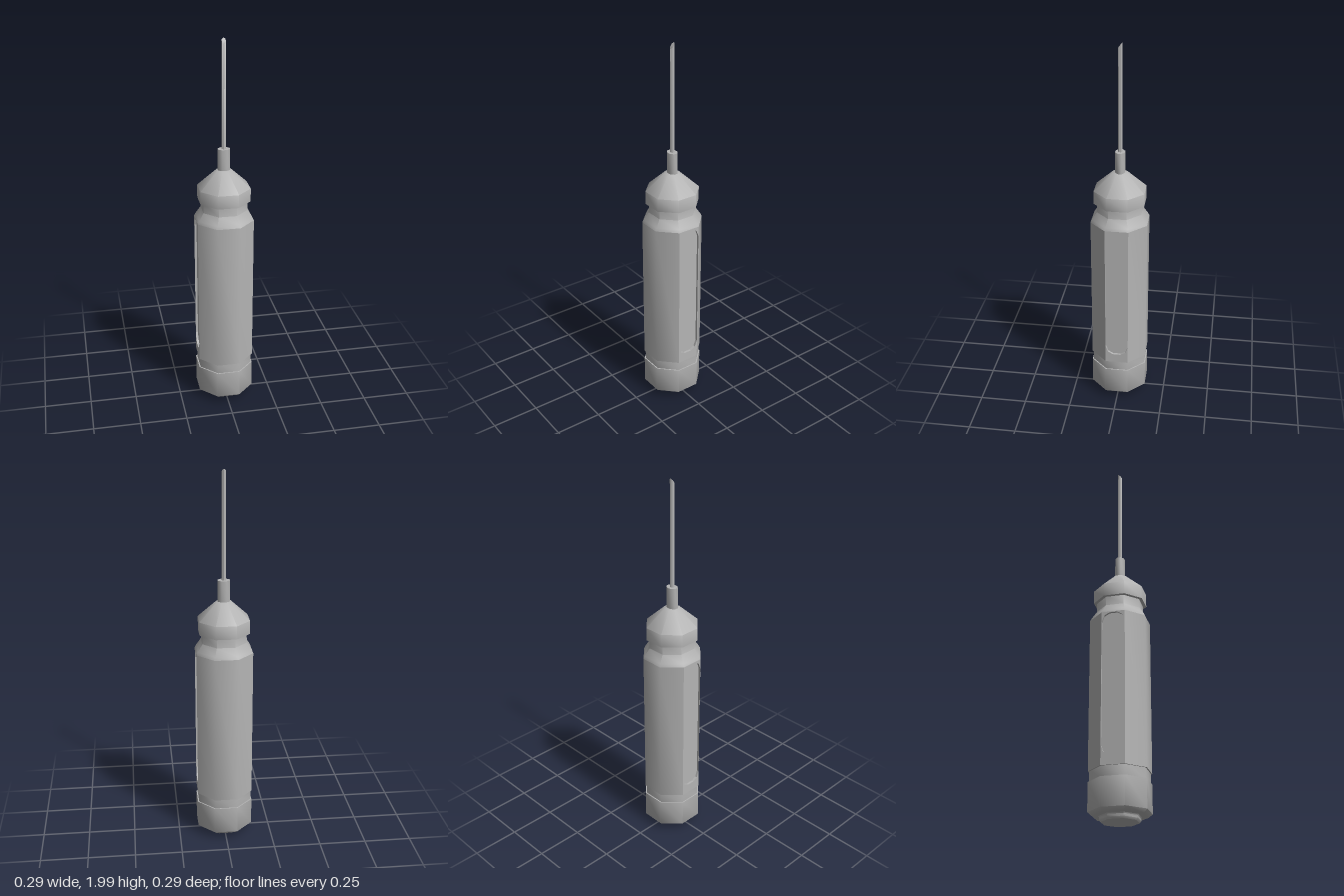
import * as THREE from 'three';
import { toCreasedNormals } from 'three/addons/utils/BufferGeometryUtils.js';

const EIGHTH = Math.PI / 8;
const ROUND = 1 / Math.cos(EIGHTH); // half width across flats -> corner radius

export function createModel() {
  const group = new THREE.Group();
  const grey = new THREE.MeshStandardMaterial({ color: 0xb4b4b4, side: THREE.DoubleSide });
  grey.name = 'grey';

  function add(name, geometry) {
    const mesh = new THREE.Mesh(geometry, grey);
    mesh.name = name;
    group.add(mesh);
    return mesh;
  }

  // Eight-sided turned part; profile points are [half width across flats, y]
  function turned(name, profile, start = EIGHTH, sides = 8) {
    const points = profile.map(([w, y]) => new THREE.Vector2(w * ROUND, y));
    const geometry = new THREE.LatheGeometry(points, sides, start, sides * EIGHTH * 2);
    return add(name, toCreasedNormals(geometry, 0.9));
  }

  // Base
  turned('endPlug', [[0, 0.005], [0.088, 0.005], [0.095, 0.015], [0.095, 0.028], [0.104, 0.04]]);
  turned('endCap', [[0, 0.033], [0.128, 0.033], [0.147, 0.05], [0.147, 0.197], [0.138, 0.197]]);
  turned('groove', [[0.141, 0.19], [0.141, 0.26]]);

  // Grip, open on both sides where the recessed panels sit
  const low = 0.25, high = 1.06, flat = 0.147;
  turned('gripUnderside', [[0.12, low], [flat, low]]);
  for (const start of [-3 * EIGHTH, 5 * EIGHTH]) {
    turned('gripShell', [[flat, low], [flat, high]], start, 3);
  }
  turned('gripShoulder', [[flat, high], [0.14, 1.075], [0.115, 1.115], [0.113, 1.17]]);

  // Side panels with a long slot
  const half = flat * Math.tan(EIGHTH), depth = 0.012;
  const panel = new THREE.Shape([[-half, low], [half, low], [half, high], [-half, high]]
    .map(([x, y]) => new THREE.Vector2(x, y)));
  const end = [[0.0602, 0.35], [0.047, 0.315], [0.02, 0.3]];
  const outline = [
    ...end,
    ...end.map(([x, y]) => [-x, y]).reverse(),
    ...end.map(([x, y]) => [-x, 1.355 - y]),
    ...end.map(([x, y]) => [x, 1.355 - y]).reverse(),
  ].map(([x, y]) => new THREE.Vector2(x, y));
  panel.holes.push(new THREE.Path(outline));
  for (const side of [1, -1]) {
    const rim = new THREE.ExtrudeGeometry(panel, { depth, bevelEnabled: false });
    rim.translate(0, 0, flat - depth).rotateY(side * Math.PI / 2);
    add('slotRim', rim);
    const floor = new THREE.ShapeGeometry(new THREE.Shape(outline));
    floor.translate(0, 0, flat - depth).rotateY(side * Math.PI / 2);
    add('slotFloor', floor);
  }

  // Nose and ferrule
  turned('nose', [[0.105, 1.165], [0.13, 1.165], [0.13, 1.235], [0.036, 1.328], [0, 1.33]]);
  turned('ferrule', [[0.031, 1.32], [0.031, 1.44], [0, 1.44]]).scale.z = 0.78;

  // Hexagonal needle with a slanted tip
  const needle = new THREE.CylinderGeometry(0.0115, 0.0115, 0.6, 6).translate(0, 1.7, 0);
  const pos = needle.attributes.position;
  for (let i = 0; i < pos.count; i++) {
    if (pos.getY(i) > 1.9) pos.setY(i, 1.985 - pos.getZ(i) * 1.3);
  }
  add('needle', toCreasedNormals(needle, 0.9));

  // Stand on the ground
  for (const mesh of group.children) mesh.position.y = -0.003;
  return group;
}
